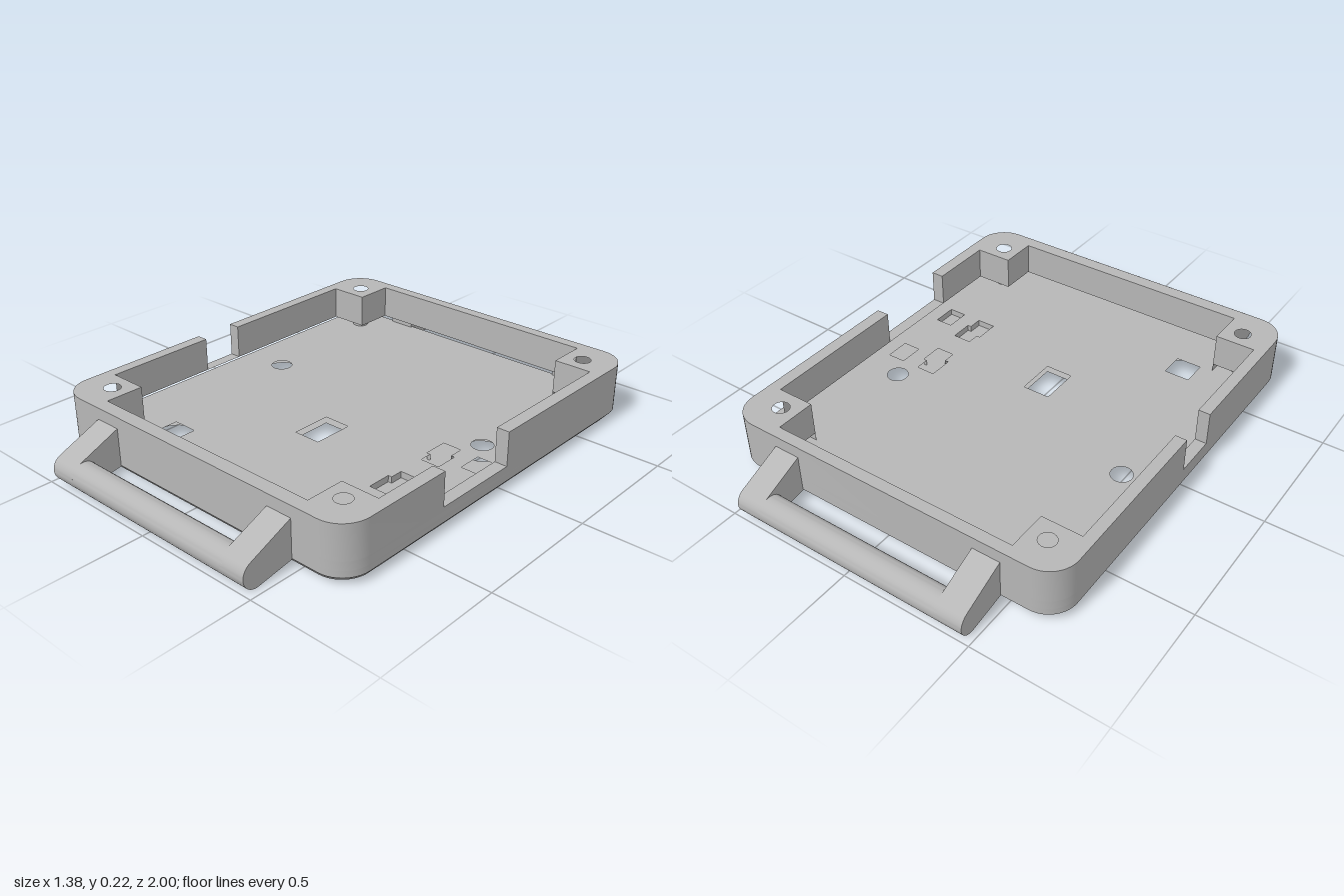
import * as THREE from 'three';
import { toCreasedNormals } from 'three/addons/utils/BufferGeometryUtils.js';

const W = 0.69, D = 0.8, R = 0.11;            // half width, half depth, corner radius
const CHAMFER = 0.03, FLOOR = 0.055, SILL = 0.088, TOP = 0.22;

// points are given as [x, z]
const toPoints = (list) => list.map(([x, z]) => new THREE.Vector2(x, -z));
const rect = (x0, x1, z0, z1) => [[x0, z0], [x1, z0], [x1, z1], [x0, z1]];
const circle = (x, z, r, n = 32) => Array.from({ length: n }, (_, i) => {
  const a = (i / n) * Math.PI * 2;
  return [x + r * Math.cos(a), z + r * Math.sin(a)];
});
const mirrorZ = (list, c) => list.map(([x, z]) => [x, 2 * c - z]);

// quarter arc round one corner, from angle a to b
function corner(sx, sz, a, b, n = 10) {
  return Array.from({ length: n + 1 }, (_, i) => {
    const t = a + ((b - a) * i) / n;
    return [sx * (W - R) + R * Math.cos(t), sz * (D - R) + R * Math.sin(t)];
  });
}

// upright slab between two heights with holes
function slab(outline, holes, y0, y1) {
  const shape = new THREE.Shape(toPoints(outline));
  shape.holes = holes.map((h) => new THREE.Path(toPoints(h)));
  const g = new THREE.ExtrudeGeometry(shape, { depth: y1 - y0, bevelEnabled: false });
  g.rotateX(-Math.PI / 2);
  g.translate(0, y0, 0);
  return g;
}

export function createModel() {
  const group = new THREE.Group();
  const grey = new THREE.MeshStandardMaterial({ color: 0xb6b6b6 });
  grey.name = 'grey plastic';
  const add = (name, geometry) => {
    const mesh = new THREE.Mesh(toCreasedNormals(geometry, 0.5), grey);
    mesh.name = name;
    group.add(mesh);
  };

  const P = Math.PI;
  const outline = [
    ...corner(1, 1, 0, P / 2), ...corner(-1, 1, P / 2, P),
    ...corner(-1, -1, P, 1.5 * P), ...corner(1, -1, 1.5 * P, 2 * P),
  ];
  const centreWindow = rect(-0.055, 0.055, 0.09, 0.25);

  // chamfered base with round recesses underneath
  const base = slab(outline, [
    centreWindow, circle(-0.51, -0.127, 0.075), circle(0.505, -0.127, 0.075), circle(-0.39, 0.54, 0.092),
  ], 0, CHAMFER);
  const p = base.attributes.position;
  for (let i = 0; i < p.count; i++) {
    const x = p.getX(i), z = p.getZ(i);
    if (p.getY(i) < 0.001 && (Math.abs(x) > 0.56 + 0.03 || Math.abs(z) > 0.67)) {
      p.setX(i, x * (W - 0.025) / W);
      p.setZ(i, z * (D - 0.025) / D);
    }
  }
  add('chamferedBase', base);

  // floor with through holes and shallow pockets
  const step = [[0.395, -0.045], [0.47, -0.045], [0.47, 0.01], [0.485, 0.01],
    [0.485, 0.1], [0.41, 0.1], [0.41, 0.05], [0.395, 0.05]];
  const slot = rect(0.545, 0.615, -0.045, 0.05);
  add('floor', slab(outline, [
    centreWindow, rect(-0.44, -0.34, 0.49, 0.59),
    circle(-0.51, -0.127, 0.041), circle(0.505, -0.127, 0.041),
    step, mirrorZ(step, 0.155), slot, mirrorZ(slot, 0.155),
  ], CHAMFER, FLOOR));

  // lower wall ring with corner posts
  const cavity = [[0.64, 0.595], [0.49, 0.595], [0.49, 0.745], [-0.49, 0.745], [-0.49, 0.595], [-0.645, 0.595],
    [-0.645, -0.6], [-0.49, -0.6], [-0.49, -0.755], [0.49, -0.755], [0.49, -0.6], [0.64, -0.6]];
  const screwHoles = (z) => [circle(-0.565, z, 0.032), circle(0.563, z, 0.032)];
  add('lowerWall', slab(outline, [cavity, ...screwHoles(0.667), ...screwHoles(-0.675)], FLOOR, SILL));

  // upper walls, parted by a notch on each side
  add('frontWall', slab([
    [W, 0.335], ...corner(1, 1, 0, P / 2), ...corner(-1, 1, P / 2, P), [-W, 0.153],
    [-0.645, 0.153], ...cavity.slice(0, 6).reverse(), [0.64, 0.335],
  ], screwHoles(0.667), SILL, TOP));
  add('backWall', slab([
    [-W, -0.015], ...corner(-1, -1, P, 1.5 * P), ...corner(1, -1, 1.5 * P, 2 * P), [W, -0.01],
    [0.64, -0.01], ...cavity.slice(6).reverse(), [-0.645, -0.015],
  ], screwHoles(-0.675), SILL, TOP));

  // handles: two tapered arms and a round bar at each end
  const barZ = 0.948, barY = 0.054, barR = 0.052;
  const profile = [[0.79, 0.028], [0.79, 0.179]];
  for (let i = 0; i <= 20; i++) {
    const a = 1.13 - (i / 20) * (1.13 + 1.77);
    profile.push([barZ + barR * Math.cos(a), barY + barR * Math.sin(a)]);
  }
  for (const side of [1, -1]) {
    const end = side > 0 ? 'front' : 'back';
    for (const [x0, x1, name] of [[0.368, 0.472, 'Left'], [-0.475, -0.368, 'Right']]) {
      const arm = new THREE.ExtrudeGeometry(
        new THREE.Shape(profile.map(([z, y]) => new THREE.Vector2(z, y))),
        { depth: x1 - x0, bevelEnabled: false });
      // profile runs outward along z
      arm.rotateY(side > 0 ? -P / 2 : P / 2);
      arm.translate(side > 0 ? x1 : x0, 0, 0);
      add(end + name + 'HandleArm', arm);
    }
    const bar = new THREE.CylinderGeometry(barR, barR, 0.76, 40);
    bar.rotateZ(P / 2);
    bar.translate(0, barY, side * barZ);
    add(end + 'HandleBar', bar);
  }
  return group;
}
